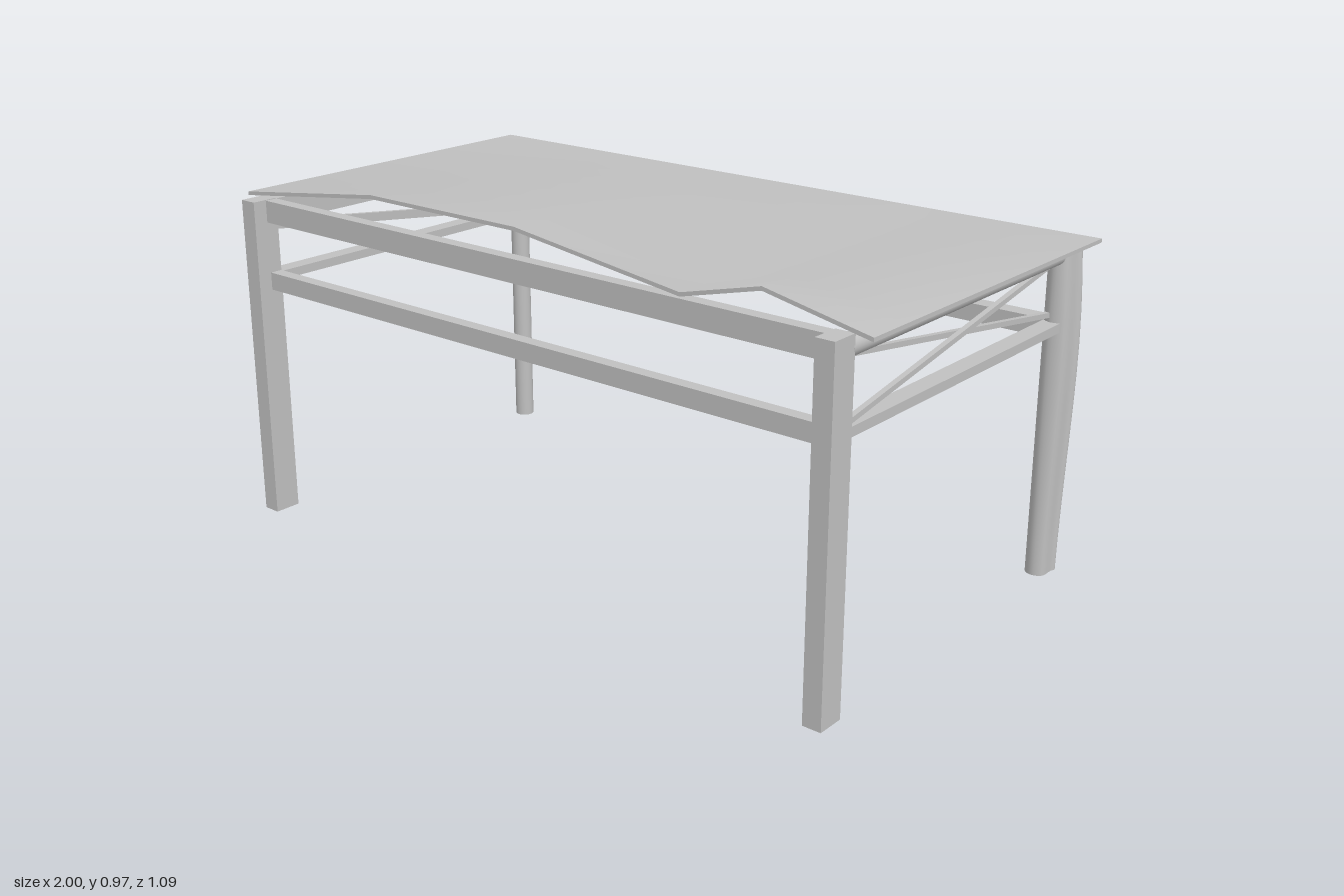
import * as THREE from 'three';

export function createModel() {
  const model = new THREE.Group();
  model.name = 'canopyTable';
  const steel = new THREE.MeshStandardMaterial({ color: 0xc0c0c0, side: THREE.DoubleSide });
  steel.name = 'grey steel';

  const add = (name, geometry) => {
    const mesh = new THREE.Mesh(geometry, steel);
    mesh.name = name;
    model.add(mesh);
    return mesh;
  };

  // Box given by its limits on each axis
  const box = (name, [x0, x1], [y0, y1], [z0, z1]) => {
    const g = new THREE.BoxGeometry(x1 - x0, y1 - y0, z1 - z0);
    g.translate((x0 + x1) / 2, (y0 + y1) / 2, (z0 + z1) / 2);
    return add(name, g);
  };

  // Thin bar between two points in a side plane
  const brace = (name, x, [z0, y0], [z1, y1], thick) => {
    const g = new THREE.BoxGeometry(0.014, thick, Math.hypot(z1 - z0, y1 - y0));
    const mesh = add(name, g);
    mesh.position.set(x, (y0 + y1) / 2, (z0 + z1) / 2);
    mesh.rotation.x = -Math.atan2(y1 - y0, z1 - z0);
  };

  // Roof sheet: straight at the back, wavy along the front edge
  const wave = [[-1, 0], [-0.5, 0.065], [0, 0.065], [0.5, 0], [0.72, 0.055], [1, 0]];
  const roof = new THREE.BoxGeometry(2, 0.01, 1.015, 5, 1, 8);
  const p = roof.attributes.position;
  for (let i = 0; i < p.count; i++) {
    const [x, rise] = wave[Math.round((p.getX(i) + 1) * 2.5)];
    const t = p.getZ(i) / 1.015 + 0.5;
    p.setXYZ(i, x, 0.904 + p.getY(i) + rise * t, p.getZ(i) - 0.004);
  }
  roof.computeVertexNormals();
  add('roofSheet', roof);

  // Front legs: square tubes, open at the foot
  for (const [name, x] of [['rightFrontLeg', -0.95], ['leftFrontLeg', 0.91]]) {
    const leg = box(name, [x - 0.025, x + 0.025], [0, 0.897], [0.47, 0.545]);
    const index = Array.from(leg.geometry.index.array);
    index.splice(18, 6);
    leg.geometry.setIndex(index);
    leg.geometry.clearGroups();
  }

  // Round back leg
  const round = new THREE.CylinderGeometry(0.028, 0.028, 0.897, 24, 1, true);
  round.translate(-0.948, 0.4485, -0.49);
  add('rightBackLeg', round);

  // Split, slightly buckled back leg: an open section lofted upwards
  const section = new THREE.CatmullRomCurve3([
    [0.925, -0.512], [0.9, -0.53], [0.886, -0.51], [0.885, -0.47], [0.91, -0.456],
    [0.935, -0.468], [0.939, -0.51], [0.943, -0.526], [0.92, -0.535], [0.895, -0.531],
  ].map(([x, z]) => new THREE.Vector3(x, 0, z))).getPoints(36);
  const levels = 10, verts = [], faces = [], n = section.length;
  for (let j = 0; j <= levels; j++) {
    const t = j / levels;
    const bulge = Math.sin(Math.PI * Math.pow(t, 1.7));
    for (const s of section) {
      const back = THREE.MathUtils.clamp((-0.49 - s.z) / 0.045, 0, 1);
      const front = THREE.MathUtils.clamp((s.z + 0.49) / 0.034, 0, 1);
      const side = THREE.MathUtils.clamp((s.x - 0.91) / 0.033, 0, 1);
      verts.push(s.x + 0.011 * bulge * side, 0.9 * t, s.z - 0.01 * bulge * back + 0.006 * t * front);
    }
  }
  for (let j = 0; j < levels; j++) {
    for (let i = 0; i < n - 1; i++) {
      const a = j * n + i, b = a + n;
      faces.push(a, b, a + 1, a + 1, b, b + 1);
    }
  }
  const buckled = new THREE.BufferGeometry();
  buckled.setAttribute('position', new THREE.Float32BufferAttribute(verts, 3));
  buckled.setIndex(faces);
  buckled.computeVertexNormals();
  add('leftBackLeg', buckled);

  // Long beams and rails between the legs
  const span = [-0.925, 0.886];
  box('frontBeam', span, [0.835, 0.895], [0.47, 0.505]);
  box('backBeam', [-0.94, 0.886], [0.835, 0.895], [-0.52, -0.46]);
  box('frontRail', span, [0.647, 0.695], [0.47, 0.505]);
  box('backRail', span, [0.647, 0.695], [-0.51, -0.462]);
  box('backPost', [0.545, 0.57], [0.69, 0.84], [-0.5, -0.475]);

  // Side beams: round on the left, square on the right
  const tube = new THREE.CylinderGeometry(0.026, 0.026, 0.93, 24);
  tube.rotateX(Math.PI / 2);
  tube.translate(0.91, 0.864, 0.008);
  add('leftSideBeam', tube);
  box('rightSideBeam', [-0.972, -0.925], [0.828, 0.895], [-0.465, 0.472]);

  // Side rails
  for (const [name, x] of [['rightSideRail', -0.948], ['leftSideRail', 0.91]]) {
    box(name, [x - 0.024, x + 0.024], [0.668, 0.692], [-0.46, 0.472]);
  }

  // Diagonal side braces
  brace('leftRisingBrace', 0.918, [0.47, 0.697], [-0.46, 0.86], 0.013);
  brace('leftFallingBrace', 0.9, [0.47, 0.843], [-0.46, 0.708], 0.013);
  brace('rightFallingBrace', -0.948, [0.47, 0.82], [-0.46, 0.698], 0.025);

  return model;
}
